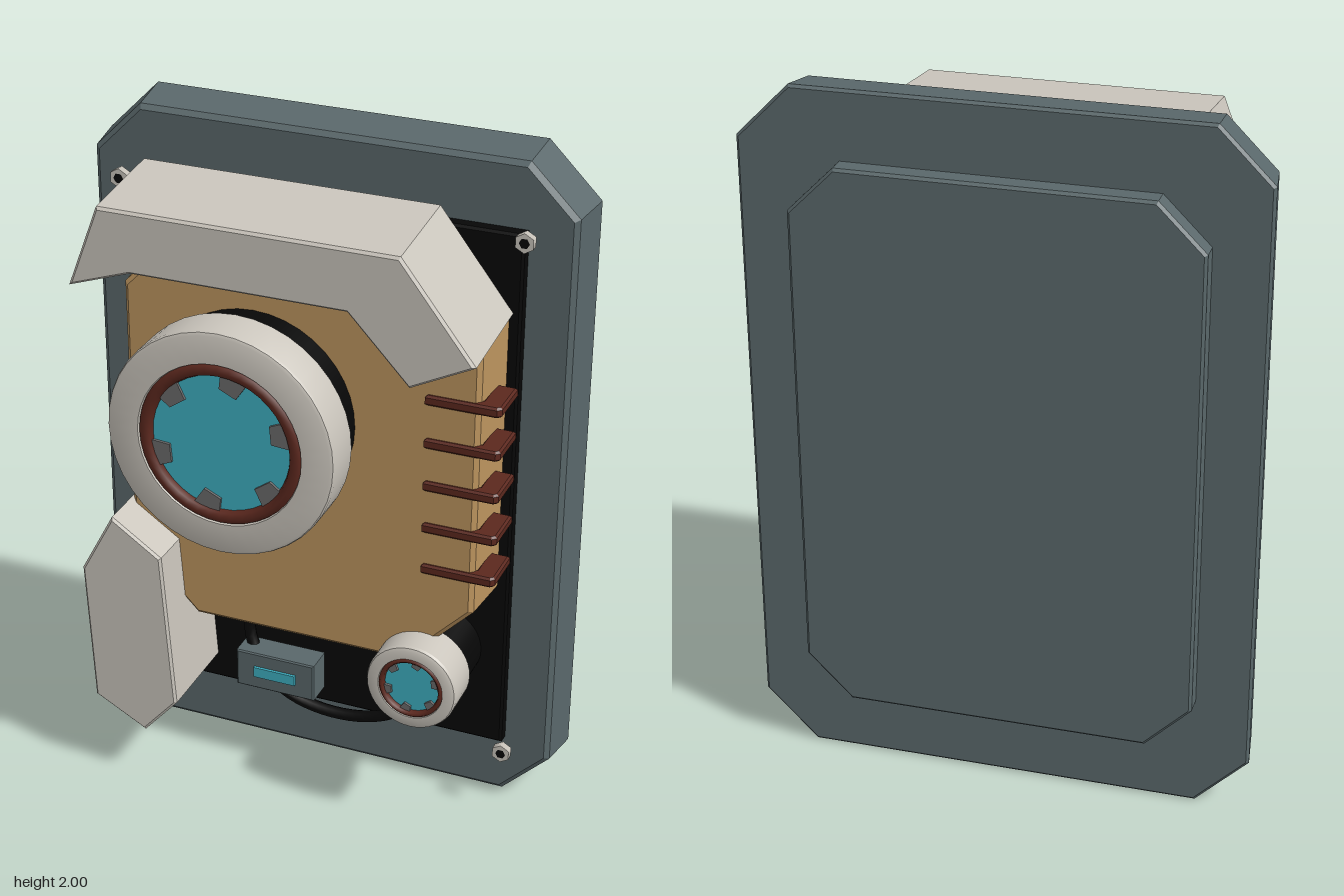
import * as THREE from 'three';
import { toCreasedNormals } from 'three/addons/utils/BufferGeometryUtils.js';

const mat = (name, color) => {
  const m = new THREE.MeshStandardMaterial({ color });
  m.name = name;
  return m;
};

// Moves every edge of a counter-clockwise outline inward by d
function inset(pts, d) {
  const n = pts.length;
  const normal = (a, b) => {
    const l = Math.hypot(b[0] - a[0], b[1] - a[1]);
    return [-(b[1] - a[1]) / l, (b[0] - a[0]) / l];
  };
  return pts.map((p, i) => {
    const u = normal(pts[(i + n - 1) % n], p), v = normal(p, pts[(i + 1) % n]);
    const k = d / (1 + u[0] * v[0] + u[1] * v[1]);
    return [p[0] + (u[0] + v[0]) * k, p[1] + (u[1] + v[1]) * k];
  });
}

// Faceted prism: counter-clockwise outline in xy,
// layers of [z, inset, yShift, xScale] from back to front
function prism(outline, layers) {
  const rings = layers.map(([z, d, dy = 0, sx = 1]) =>
    inset(outline, d).map(([x, y]) => [x * sx, y + dy, z]));
  const pos = [], n = outline.length;
  const tri = (a, b, c) => pos.push(...a, ...b, ...c);
  for (let k = 0; k + 1 < rings.length; k++) {
    const lo = rings[k], hi = rings[k + 1];
    for (let i = 0; i < n; i++) {
      const j = (i + 1) % n;
      tri(lo[i], lo[j], hi[j]);
      tri(lo[i], hi[j], hi[i]);
    }
  }
  const back = rings[0], front = rings[rings.length - 1];
  const flat = outline.map(([x, y]) => new THREE.Vector2(x, y));
  for (const [a, b, c] of THREE.ShapeUtils.triangulateShape(flat, [])) {
    tri(front[a], front[b], front[c]);
    tri(back[a], back[c], back[b]);
  }
  const g = new THREE.BufferGeometry();
  g.setAttribute('position', new THREE.Float32BufferAttribute(pos, 3));
  g.computeVertexNormals();
  return g;
}

// Rectangle with cut corners, counter-clockwise
const octagon = (w, y0, y1, c) => [
  [-w + c, y0], [w - c, y0], [w, y0 + c], [w, y1 - c],
  [w - c, y1], [-w + c, y1], [-w, y1 - c], [-w, y0 + c]];

export function createModel() {
  const model = new THREE.Group();
  model.name = 'wallPanelDevice';
  const slate = mat('slate', 0x5a686b), bone = mat('bone', 0xcbc6bd);
  const tan = mat('tan', 0xbd955f), cyan = mat('cyan', 0x3fb0c2);
  const rust = mat('rust', 0x5c281e), black = mat('black', 0x070707);
  const grey = mat('grey', 0x6b6a6a);

  const add = (name, geo, material, parent = model) => {
    const m = new THREE.Mesh(geo, material);
    m.name = name;
    parent.add(m);
    return m;
  };

  // Frame, rear plate and dark backboard
  add('frame', prism(octagon(0.713, 0, 2, 0.15),
    [[-0.27, 0.008], [-0.262, 0], [-0.135, 0.018], [-0.122, 0.032]]), slate);
  add('rearPlate', prism(octagon(0.558, 0.2, 1.806, 0.13),
    [[-0.33, 0.008], [-0.322, 0], [-0.265, 0]]), slate);
  add('backboard', prism([[-0.565, 0.21], [0.562, 0.21], [0.562, 1.797], [-0.565, 1.797]],
    [[-0.13, 0], [-0.092, 0], [-0.085, 0.007]]), black);

  // Body, narrowing towards the front
  add('body', prism(octagon(0.53, 0.535, 1.75, 0.2),
    [[-0.09, 0], [0.072, 0, 0, 0.972], [0.085, 0.013, 0, 0.972]]), tan);

  // Hood over the top, sloping down to the front
  add('hood', prism([[-0.37, 1.727], [0.235, 1.727], [0.405, 1.547], [0.58, 1.635],
    [0.375, 1.9], [-0.46, 1.9], [-0.55, 1.665]],
    [[0.036, 0.006], [0.042, 0], [0.323, 0, -0.029], [0.33, 0.007, -0.03]]), bone);

  // Lower side guard
  add('sideGuard', prism([[-0.335, 0.295], [-0.37, 0.775], [-0.52, 0.877],
    [-0.62, 0.69], [-0.597, 0.26], [-0.44, 0.175]],
    [[-0.112, 0.006], [-0.106, 0], [0.203, 0], [0.21, 0.007]]), bone);

  // Dials, modelled at the large size; z = 0 is the back of the rim
  const dial = (name, x, y, z, scale, barrelDepth) => {
    const g = new THREE.Group();
    g.name = name;
    g.position.set(x, y, z);
    g.scale.set(scale, scale, 1);
    model.add(g);
    const b = 0.012 / scale; // edge rounding keeps its real size
    const profile = [[0.27, 0], [0.33 - b, 0], [0.33, 0.012], [0.33, 0.123],
      [0.33 - b * 0.3, 0.131], [0.33 - b, 0.135], [0.238, 0.135], [0.228, 0.1]];
    add('rim', toCreasedNormals(new THREE.LatheGeometry(
      profile.map(p => new THREE.Vector2(...p)), 40), 0.5).rotateX(Math.PI / 2), bone, g);
    add('barrel', new THREE.CylinderGeometry(0.295, 0.295, barrelDepth + 0.02, 40)
      .rotateX(Math.PI / 2).translate(0, 0, 0.01 - barrelDepth / 2), black, g);
    add('innerRing', new THREE.TorusGeometry(0.219, 0.02, 8, 40)
      .translate(0, 0, 0.119), rust, g);
    add('lens', new THREE.CircleGeometry(0.225, 40).translate(0, 0, 0.119), cyan, g);
    for (let i = 0; i < 6; i++) {
      add('tooth', prism([[0.15, -0.018], [0.208, -0.042], [0.208, 0.038], [0.162, 0.034]],
        [[0.115, 0], [0.127, 0]]).rotateZ((18 + 60 * i) * Math.PI / 180), grey, g);
    }
  };
  dial('largeDial', -0.13, 1.24, 0.185, 1, 0.11);
  dial('smallDial', 0.372, 0.51, 0.04, 0.4, 0.13);

  // Clips wrapping around the body edge (outline drawn in x and -z)
  const clip = prism([[0.365, -0.095], [0.565, -0.095], [0.576, -0.084], [0.576, 0.043],
    [0.515, 0.043], [0.515, -0.06], [0.365, -0.06]],
    [[-0.015, 0.006], [-0.009, 0], [0.009, 0], [0.015, 0.006]]).rotateX(-Math.PI / 2);
  for (let i = 0; i < 5; i++) add('clip', clip, rust).position.y = 1.367 - 0.129 * i;

  // Control box with a light strip
  add('controlBox', prism([[-0.222, 0.284], [0.022, 0.284], [0.022, 0.403], [-0.222, 0.403]],
    [[-0.055, 0], [0.026, 0], [0.03, 0.004]]), slate);
  add('lightStrip', new THREE.BoxGeometry(0.13, 0.032, 0.009)
    .translate(-0.1, 0.344, 0.034), cyan);

  // Cable from the body to the small dial
  const path = new THREE.CatmullRomCurve3([[-0.2, 0.56, -0.04], [-0.2, 0.42, -0.03],
    [-0.1, 0.28, -0.015], [0.07, 0.235, -0.01], [0.25, 0.275, -0.015], [0.37, 0.42, -0.03]]
    .map(p => new THREE.Vector3(...p)));
  add('cable', new THREE.TubeGeometry(path, 32, 0.018, 8), black);

  // Hexagonal corner bolts with dark sockets
  for (const x of [-0.578, 0.578]) for (const y of [0.21, 1.798]) {
    const bolt = new THREE.Group();
    bolt.name = 'cornerBolt';
    bolt.position.set(x, y, -0.043);
    model.add(bolt);
    add('head', new THREE.CylinderGeometry(0.028, 0.028, 0.023, 6)
      .rotateX(Math.PI / 2), bone, bolt);
    add('socket', new THREE.CircleGeometry(0.015, 6).translate(0, 0, 0.0125), black, bolt);
  }
  return model;
}
